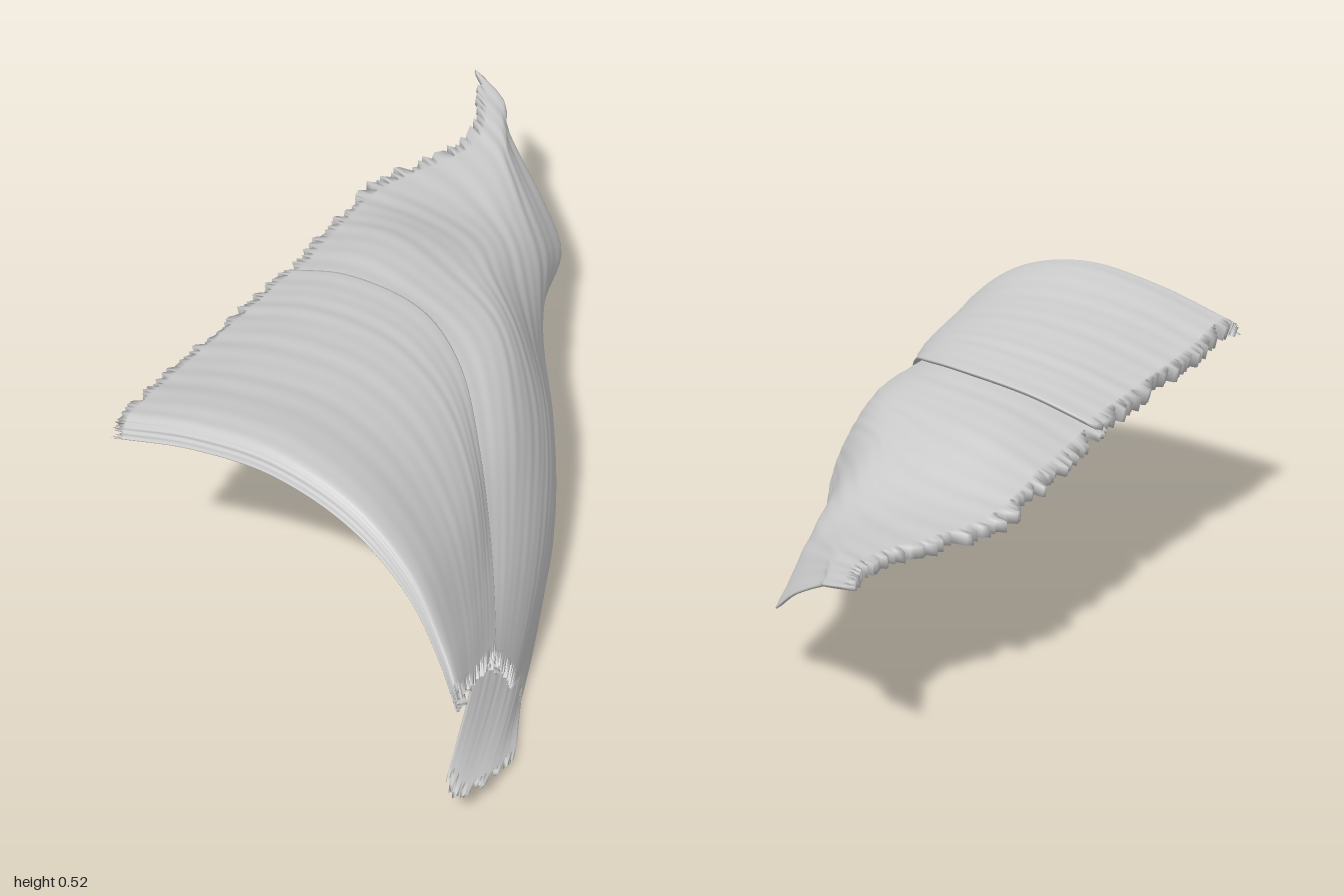
import * as THREE from 'three';

const material = new THREE.MeshStandardMaterial({ color: 0xcccccc, side: THREE.DoubleSide });

// repeatable pseudo-random number in -1..1
const noise = (n) => {
  const s = Math.sin(n * 127.1 + 11.7) * 43758.5453;
  return (s - Math.floor(s)) * 2 - 1;
};

const curveThrough = (points) =>
  new THREE.CatmullRomCurve3(points.map((p) => new THREE.Vector3(...p)), false, 'centripetal');

// Sheet of fibres lofted through rows of points, with thickness and frayed ends.
function fibreSheet(name, rows, { thickness, frayStart, frayEnd, seed, nu = 56, nv = 130 }) {
  const curves = rows.map(curveThrough);
  const columns = [];
  for (let i = 0; i <= nu; i++) {
    const across = new THREE.CatmullRomCurve3(curves.map((c) => c.getPointAt(i / nu)), false, 'centripetal');
    columns.push(Array.from({ length: nv + 1 }, (_, j) => across.getPoint(j / nv)));
  }

  // top and underside points of every column form one closed ring
  const positions = [];
  const ring = 2 * (nv + 1);
  for (let i = 0; i <= nu; i++) {
    const top = [], under = [];
    const u = i / nu;
    for (let j = 0; j <= nv; j++) {
      const v = j / nv;
      const du = columns[Math.min(i + 1, nu)][j].clone().sub(columns[Math.max(i - 1, 0)][j]).normalize();
      const dv = columns[i][Math.min(j + 1, nv)].clone().sub(columns[i][Math.max(j - 1, 0)]).normalize();
      const normal = du.clone().cross(dv).normalize();
      const p = columns[i][j].clone();
      // uneven fibre ends
      if (i === 0) p.addScaledVector(du, noise(j + seed) * frayStart);
      if (i === nu) p.addScaledVector(du, noise(j + seed + 500) * frayEnd);
      // shallow grooves that run along the fibres and fade where they converge
      const groove = 0.0008 * (1 - u) * (Math.sin(v * 61 + seed + 2 * Math.sin(u * 4)) + Math.sin(v * 97 + u * 3));
      const rim = Math.sqrt(Math.min(1, 8 * Math.min(v, 1 - v)));
      p.addScaledVector(normal, groove * rim);
      const t = thickness * (0.15 + 0.85 * rim) * (1 - 0.35 * u);
      top.push(p);
      under.unshift(p.clone().addScaledVector(normal, -t));
    }
    [...top, ...under].forEach((p) => positions.push(p.x, p.y, p.z));
  }

  const index = [];
  for (let i = 0; i < nu; i++) {
    for (let k = 0; k < ring; k++) {
      const a = i * ring + k, b = i * ring + ((k + 1) % ring);
      index.push(a, a + ring, b, b, a + ring, b + ring);
    }
  }
  // close both frayed ends
  for (let j = 0; j < nv; j++) {
    const e = nu * ring, m = ring - 1 - j;
    index.push(j, j + 1, m, j + 1, m - 1, m);
    index.push(e + j, e + m, e + j + 1, e + j + 1, e + m, e + m - 1);
  }

  const geometry = new THREE.BufferGeometry();
  geometry.setAttribute('position', new THREE.Float32BufferAttribute(positions, 3));
  geometry.setIndex(index);
  geometry.computeVertexNormals();
  const mesh = new THREE.Mesh(geometry, material);
  mesh.name = name;
  return mesh;
}

export function createModel() {
  const group = new THREE.Group();
  group.name = 'fanMuscle';

  // arched front lobe: rolled front rim, crest, then back to the rear seam
  group.add(fibreSheet('frontLobe', [
    [[-.435, .415, .695], [-.25, .465, .725], [-.06, .488, .765], [.12, .452, .81], [.25, .365, .85], [.33, .265, .89], [.37, .205, .92]],
    [[-.435, .445, .67], [-.25, .498, .7], [-.06, .523, .74], [.12, .486, .785], [.25, .4, .83], [.34, .285, .885], [.378, .23, .92]],
    [[-.43, .425, .46], [-.25, .475, .48], [-.05, .49, .51], [.12, .455, .58], [.25, .375, .67], [.34, .265, .78], [.38, .21, .86]],
    [[-.415, .4, .22], [-.25, .445, .23], [-.05, .46, .28], [.1, .43, .36], [.23, .36, .5], [.33, .25, .68], [.378, .19, .79]],
    [[-.4, .38, 0], [-.25, .42, .02], [-.05, .432, .09], [.08, .408, .2], [.2, .35, .38], [.31, .25, .58], [.375, .175, .72]],
  ], { thickness: 0.032, frayStart: 0.016, frayEnd: 0.025, seed: 3 }));

  // long rear lobe: flat crown from the seam, then a steep wall to the outer border
  group.add(fibreSheet('rearLobe', [
    [[-.4, .37, .05], [-.25, .41, .07], [-.05, .422, .14], [.08, .398, .24], [.2, .34, .42], [.31, .24, .62], [.365, .165, .74]],
    [[-.405, .345, -.22], [-.25, .388, -.18], [-.08, .392, -.09], [.08, .378, .02], [.2, .325, .21], [.285, .25, .41], [.345, .185, .58], [.38, .12, .7]],
    [[-.405, .318, -.46], [-.25, .32, -.42], [-.1, .325, -.34], [0, .34, -.2], [.12, .31, -.05], [.22, .245, .1], [.31, .18, .33], [.365, .12, .52], [.395, .065, .68]],
    [[-.29, .31, -.75], [-.2, .3, -.68], [-.09, .27, -.54], [.005, .25, -.4], [.115, .2, -.17], [.215, .18, .02], [.3, .12, .22], [.355, .075, .42], [.4, .03, .67]],
    [[-.36, .338, -.97], [-.27, .31, -.91], [-.24, .285, -.85], [-.18, .25, -.79], [-.1, .2, -.72], [-.02, .135, -.64], [.03, .13, -.4], [.19, .09, -.05], [.29, .042, .2], [.37, .01, .5], [.41, .006, .68]],
  ], { thickness: 0.022, frayStart: 0.022, frayEnd: 0.025, seed: 41 }));

  // tendon that emerges from under the frayed end of the rear lobe
  group.add(fibreSheet('tendon', [
    [[.3, .22, .6], [.355, .15, .78], [.385, .08, .98]],
    [[.34, .15, .55], [.385, .09, .76], [.415, .055, .98]],
    [[.36, .07, .5], [.41, .04, .73], [.44, .035, .92]],
    [[.36, .015, .48], [.405, .006, .66], [.45, .005, .8]],
  ], { thickness: 0.018, frayStart: 0.005, frayEnd: 0.025, seed: 63, nu: 24, nv: 40 }));

  // inner layer folded up from the outer border, its upper rim rolled outwards
  group.add(fibreSheet('deepFold', [
    [[0, .13, -.35], [.17, .09, -.05], [.29, .035, .2], [.36, .004, .5], [.42, .004, .82]],
    [[-.03, .16, -.3], [.12, .17, -.02], [.25, .14, .3], [.34, .08, .6], [.415, .03, .92]],
    [[-.07, .21, -.22], [.09, .255, .1], [.21, .245, .41], [.325, .16, .7], [.4, .05, .97]],
    [[-.05, .235, -.24], [.12, .28, .07], [.235, .265, .38], [.335, .175, .68], [.405, .06, .95]],
  ], { thickness: 0.016, frayStart: 0.006, frayEnd: 0.02, seed: 87, nu: 40, nv: 50 }));

  return group;
}
